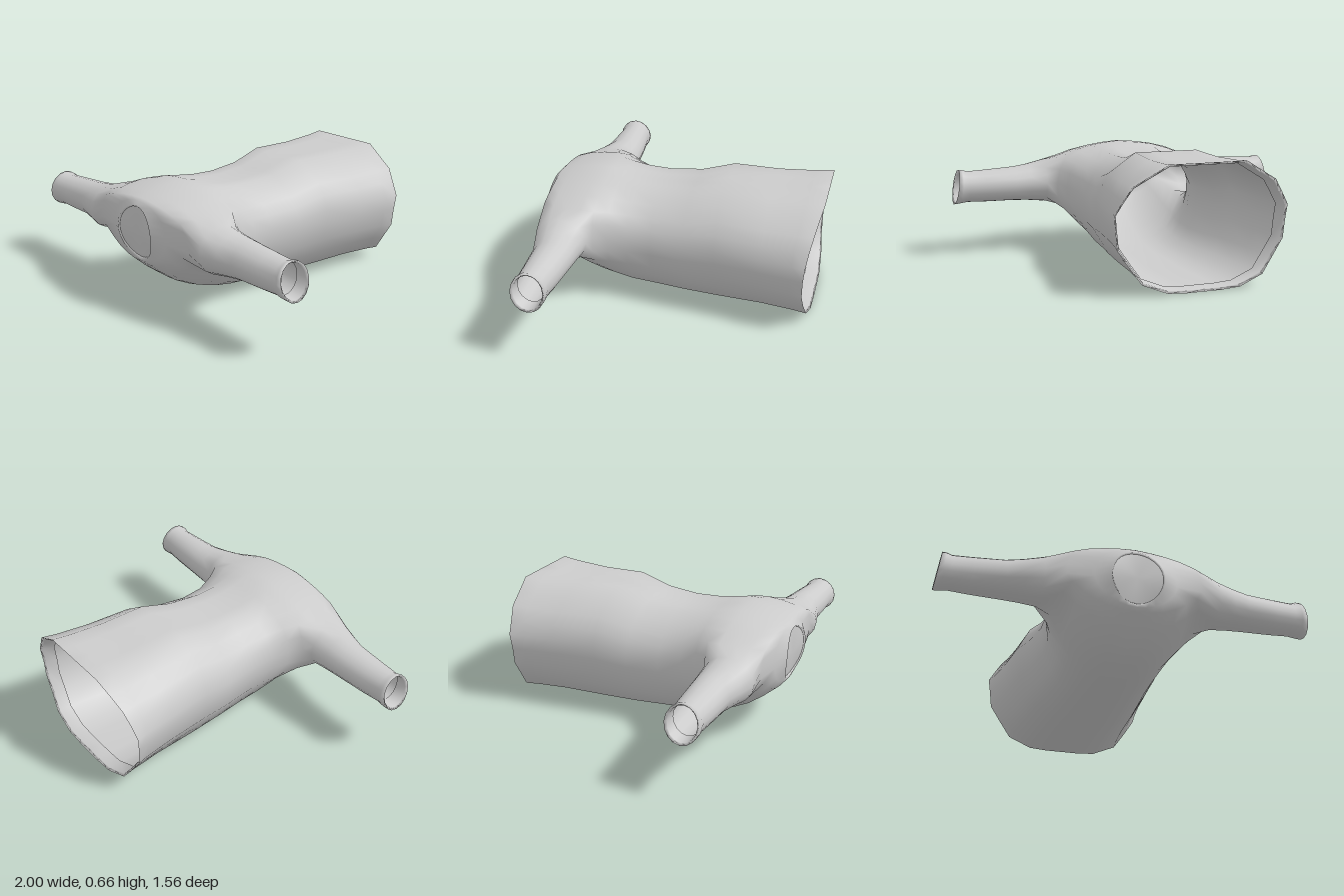
import * as THREE from 'three';
import { mergeVertices } from 'three/addons/utils/BufferGeometryUtils.js';

// Half outlines, top centre to bottom centre: [share of half width, share of height]
const HALF = [[0, 1], [0.22, 1], [0.44, 1], [0.63, 0.92], [0.82, 0.84], [0.91, 0.74], [1, 0.63],
  [0.98, 0.5], [0.96, 0.36], [0.83, 0.22], [0.7, 0.09], [0.42, 0.01], [0.2, 0], [0, 0]];
const YOKE = [[0, 1], [0.22, 0.985], [0.44, 0.96], [0.68, 0.915], [0.9, 0.85], [0.97, 0.74], [1, 0.6],
  [1, 0.46], [0.92, 0.34], [0.74, 0.21], [0.57, 0.11], [0.38, 0.035], [0.2, 0.005], [0, 0]];
const N = HALF.length;

// Body stations from hem to neck: z, half width, bottom y, top y, roundness, hem curve
const BODY = [
  [-0.66, 0.442, 0.018, 0.64, 0, 0.6],
  [-0.73, 0.463, 0.012, 0.648, 0, 1],
  [-0.74, 0.475, 0, 0.66, 0, 1],
  [-0.66, 0.457, 0.005, 0.652, 0, 0.5],
  [-0.48, 0.43, 0.012, 0.645, 0, 0],
  [-0.23, 0.402, 0.01, 0.655, 0, 0],
  [-0.05, 0.375, 0.014, 0.605, 0, 0],
  [0.13, 0.35, 0.022, 0.592, 0, 0],
  [0.26, 0.355, 0.032, 0.6, 0, 0],
  [0.36, 0.38, 0.045, 0.622, 0, 0],
  [0.43, 0.415, 0.063, 0.638, 0, 0],
  [0.5, 0.42, 0.085, 0.64, 0, 0],
  [0.58, 0.41, 0.125, 0.632, 0, 0],
  [0.66, 0.395, 0.185, 0.615, 0, 0],
  [0.726, 0.36, 0.242, 0.597, 0.15, 0],
  [0.742, 0.22, 0.258, 0.584, 0.8, 0],
  [0.772, 0.142, 0.272, 0.562, 1, 0],
  [0.764, 0.135, 0.279, 0.555, 1, 0],
];
// Armhole: the stations and outline points left open for the sleeve
const R0 = 10, R1 = 14, J0 = 4, J1 = 8;

// Sleeve stations: x, centre y, centre z, radius y, radius z, slant of the cuff
const SLEEVE = [
  [0.47, 0.41, 0.588, 0.124, 0.142, 0],
  [0.56, 0.406, 0.58, 0.109, 0.125, 0],
  [0.65, 0.403, 0.572, 0.1, 0.109, 0],
  [0.82, 0.398, 0.575, 0.094, 0.097, 0],
  [0.92, 0.397, 0.578, 0.09, 0.088, 0],
  [0.965, 0.398, 0.58, 0.098, 0.094, 0.008],
  [1, 0.397, 0.58, 0.1, 0.091, 0.016],
  [0.99, 0.397, 0.58, 0.089, 0.078, 0.016],
  [0.92, 0.397, 0.58, 0.084, 0.073, 0],
];

function bodyPoint([z, hw, y0, y1, round, hem], j) {
  const { lerp, smoothstep } = THREE.MathUtils;
  const yoke = smoothstep(z, 0.2, 0.5);
  const a = Math.PI * j / (N - 1);
  const x = hw * lerp(lerp(HALF[j][0], YOKE[j][0], yoke), Math.sin(a), round);
  const h = lerp(lerp(HALF[j][1], YOKE[j][1], yoke), 0.5 + 0.5 * Math.cos(a), round);
  // hem draws in at the sides, neck edge bows forward in the middle
  const neck = round === 1 ? 0.123 * h - 0.106 * h * h - 0.027 : 0;
  const lean = hem * (0.14 * h - 0.18 * h * h) + neck;
  return [j === 0 || j === N - 1 ? 0 : x, y0 + (y1 - y0) * h, z + lean];
}

// Mirrors a half made for x >= 0, welds the seam and smooths it
function mirrored(points, faces) {
  const n = points.length;
  const all = [...points, ...points.map(([x, y, z]) => [-x || 0, y, z])];
  const index = [...faces];
  for (let i = 0; i < faces.length; i += 3) index.push(faces[i] + n, faces[i + 2] + n, faces[i + 1] + n);
  let g = new THREE.BufferGeometry();
  g.setAttribute('position', new THREE.Float32BufferAttribute(all.flat(), 3));
  g.setIndex(index);
  g = mergeVertices(g, 1e-4);
  g.computeVertexNormals();
  return g;
}

export function createModel() {
  const group = new THREE.Group();
  group.name = 'sweater';
  const material = new THREE.MeshStandardMaterial({ color: 0xcccccc, side: THREE.DoubleSide });
  const points = [], faces = [];
  const quad = (a, b, c, d) => faces.push(a, b, c, b, d, c);

  // Body, with the armhole left open
  BODY.forEach((s) => { for (let j = 0; j < N; j++) points.push(bodyPoint(s, j)); });
  const id = (i, j) => i * N + j;
  for (let i = 0; i < BODY.length - 1; i++) {
    for (let j = 0; j < N - 1; j++) {
      if (i >= R0 && i < R1 && j >= J0 && j < J1) continue;
      quad(id(i, j), id(i + 1, j), id(i, j + 1), id(i + 1, j + 1));
    }
  }

  // Sleeve, grown out of the armhole edge
  let ring = [];
  for (let j = J0; j < J1; j++) ring.push(id(R0, j));
  for (let i = R0; i < R1; i++) ring.push(id(i, J1));
  for (let j = J1; j > J0; j--) ring.push(id(R1, j));
  for (let i = R1; i > R0; i--) ring.push(id(i, J0));
  const M = ring.length;
  for (const [x, cy, cz, ry, rz, slant] of SLEEVE) {
    const next = ring.map((_, k) => {
      const a = Math.PI * (0.75 + 2 * k / M);
      const px = x - slant * (1 + Math.sin(a));
      return points.push([px, cy + ry * Math.sin(a), cz + rz * Math.cos(a)]) - 1;
    });
    for (let k = 0; k < M; k++) {
      const l = (k + 1) % M;
      quad(ring[k], next[k], ring[l], next[l]);
    }
    ring = next;
  }
  const shell = new THREE.Mesh(mirrored(points, faces), material);
  shell.name = 'bodyAndSleeves';
  group.add(shell);

  // Panel closing the neck
  const last = BODY[BODY.length - 1];
  const rim = HALF.map((_, j) => bodyPoint(last, j));
  const fan = [];
  for (let j = 0; j < N - 1; j++) fan.push(N, j + 1, j);
  const panel = new THREE.Mesh(mirrored([...rim, [0, 0.415, 0.762]], fan), material);
  panel.name = 'neckPanel';
  group.add(panel);

  return group;
}
